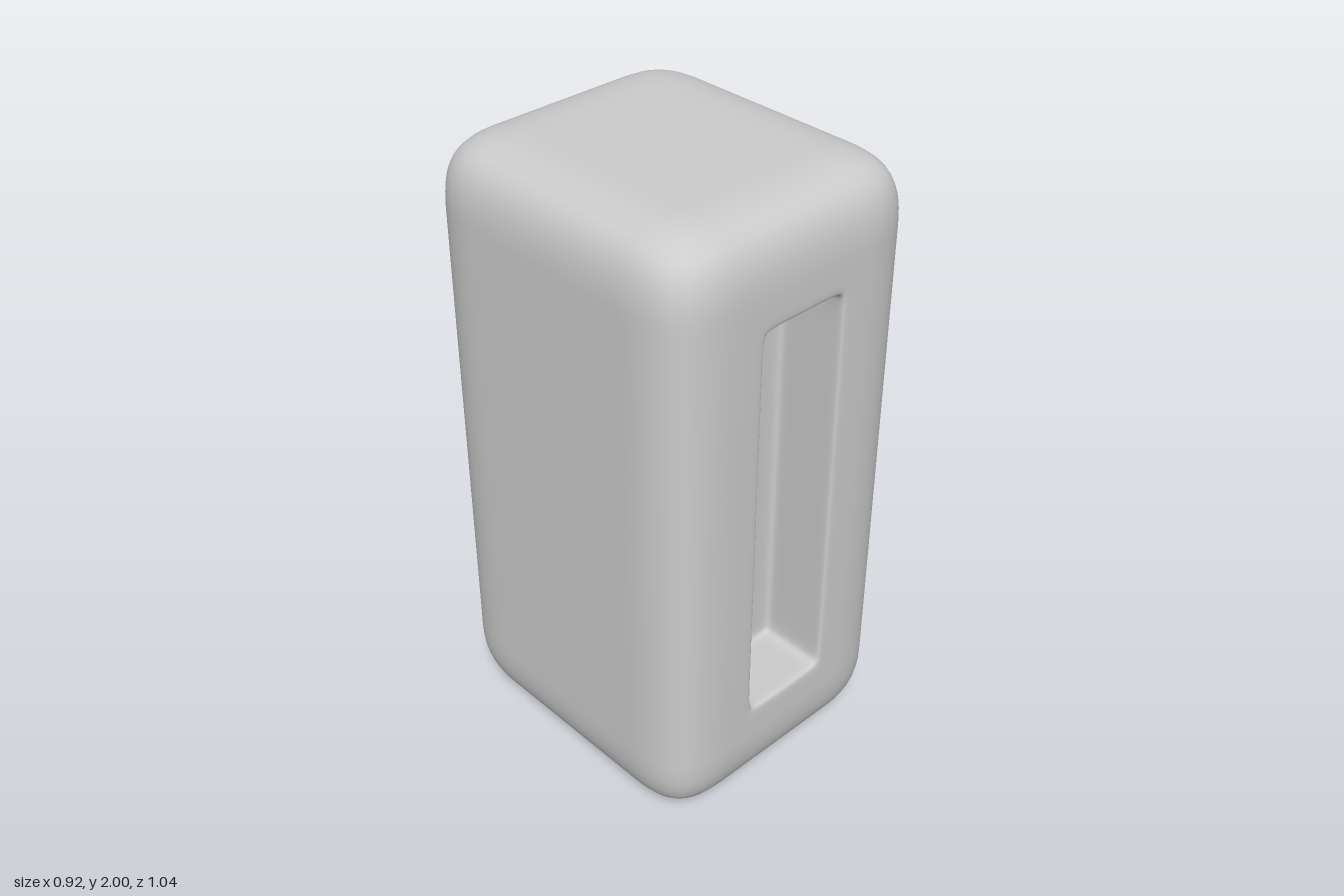
import * as THREE from 'three';

// Cage lines: x and y bracket the slot rim; z differs on the skin and in the slots
const X = [-0.46, -0.175, -0.153, -0.085, 0.085, 0.153, 0.175, 0.46];
const Y = [0, 0.30, 0.335, 0.4, 1.615, 1.683, 1.715, 2];
const Z_SKIN = [-0.52, -0.24, -0.2, -0.15, 0.15, 0.2, 0.24, 0.52];
const Z_SLOT = [-0.52, -0.49, -0.325, -0.295, 0.295, 0.325, 0.49, 0.52];
const N = 7;

// A cell is filled unless it lies outside or in the front or back slot
function solid([i, j, k]) {
  if ([i, j, k].some((c) => c < 0 || c >= N)) return false;
  const inSlot = i >= 2 && i <= 4 && j >= 2 && j <= 4 && k !== 3;
  return !inSlot;
}

// Quads between filled and empty cells
function buildCage() {
  const verts = [], quads = [], ids = new Map();
  const vertex = (p) => {
    const key = p.join();
    if (!ids.has(key)) {
      const [i, j, k] = p;
      const skin = i === 0 || i === N || j === 0 || j === N;
      ids.set(key, verts.length);
      verts.push(new THREE.Vector3(X[i], Y[j], (skin ? Z_SKIN : Z_SLOT)[k]));
    }
    return ids.get(key);
  };
  for (let i = 0; i < N; i++) for (let j = 0; j < N; j++) for (let k = 0; k < N; k++) {
    const cell = [i, j, k];
    if (!solid(cell)) continue;
    for (let d = 0; d < 3; d++) for (const side of [0, 1]) {
      const next = [...cell];
      next[d] += side ? 1 : -1;
      if (solid(next)) continue;
      const quad = [[0, 0], [1, 0], [1, 1], [0, 1]].map(([a, b]) => {
        const p = [...cell];
        p[d] += side;
        p[(d + 1) % 3] += a;
        p[(d + 2) % 3] += b;
        return vertex(p);
      });
      quads.push(side ? quad : quad.reverse());
    }
  }
  return { verts, quads };
}

// One Catmull-Clark step on a closed quad mesh
function subdivide({ verts, quads }) {
  const out = verts.map(() => new THREE.Vector3());
  const faceSum = verts.map(() => new THREE.Vector3());
  const midSum = verts.map(() => new THREE.Vector3());
  const valence = verts.map(() => 0);
  const edges = new Map();
  const faceIds = quads.map((q) => {
    const centre = new THREE.Vector3();
    q.forEach((v) => centre.addScaledVector(verts[v], 0.25));
    const id = out.push(centre) - 1;
    q.forEach((a, n) => {
      const b = q[(n + 1) % 4];
      const key = Math.min(a, b) * verts.length + Math.max(a, b);
      if (!edges.has(key)) edges.set(key, { a, b, faces: [] });
      edges.get(key).faces.push(centre);
      faceSum[a].add(centre);
      valence[a]++;
    });
    return id;
  });
  for (const e of edges.values()) {
    const mid = verts[e.a].clone().add(verts[e.b]).multiplyScalar(0.5);
    midSum[e.a].add(mid);
    midSum[e.b].add(mid);
    const p = mid.clone().multiplyScalar(0.5);
    e.faces.forEach((c) => p.addScaledVector(c, 0.5 / e.faces.length));
    e.id = out.push(p) - 1;
  }
  verts.forEach((v, n) => {
    const k = valence[n];
    out[n].copy(v).multiplyScalar((k - 3) / k)
      .addScaledVector(faceSum[n], 1 / (k * k))
      .addScaledVector(midSum[n], 2 / (k * k));
  });
  const edgeId = (a, b) => edges.get(Math.min(a, b) * verts.length + Math.max(a, b)).id;
  const newQuads = quads.flatMap((q, f) => q.map((v, n) =>
    [v, edgeId(v, q[(n + 1) % 4]), faceIds[f], edgeId(q[(n + 3) % 4], v)]));
  return { verts: out, quads: newQuads };
}

export function createModel() {
  let mesh = buildCage();
  for (let n = 0; n < 3; n++) mesh = subdivide(mesh);

  const geometry = new THREE.BufferGeometry().setFromPoints(mesh.verts);
  geometry.setIndex(mesh.quads.flatMap(([a, b, c, d]) => [a, b, c, a, c, d]));
  geometry.computeVertexNormals();

  // Soft block with a tall slot in the front and the back
  const body = new THREE.Mesh(geometry, new THREE.MeshStandardMaterial({ color: 0xcccccc }));
  body.name = 'slottedBlock';
  const group = new THREE.Group();
  group.name = 'roundedBlock';
  group.add(body);
  return group;
}
